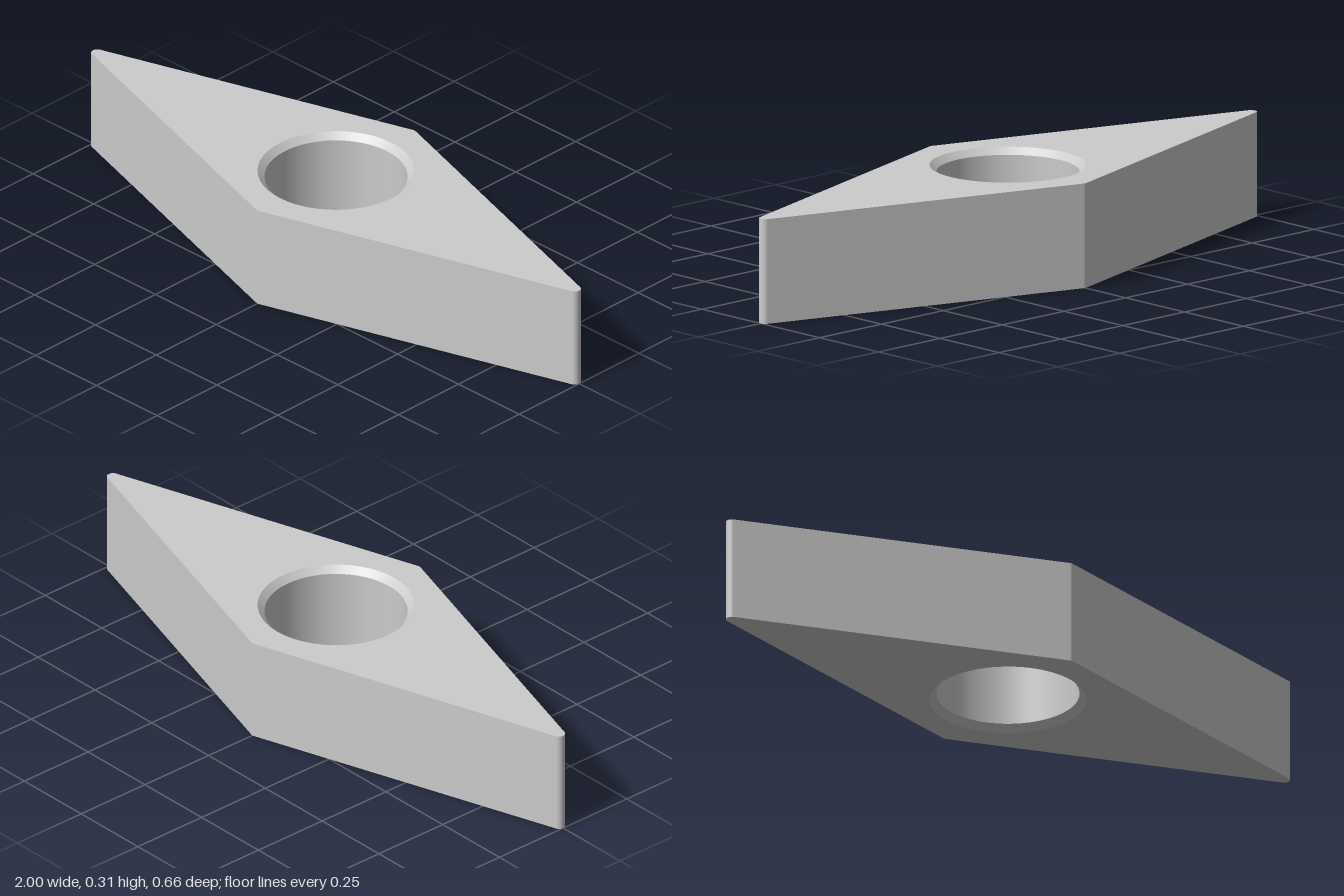
import * as THREE from 'three';

const HEIGHT = 0.315, HALF_X = 1, HALF_Z = 0.328;
const CORNER = 0.018;                     // radius of the four rounded corners
const BORE = 0.21, MOUTH = 0.23, CHAMFER = 0.02;
const CORNER_STEPS = 10, BORE_STEPS = 48;

// Rounded rhombus outline: points with their outward normals
function rhombusOutline() {
  const cx = HALF_X - CORNER, cz = HALF_Z - CORNER;
  const steep = Math.atan2(cx, cz);       // direction square to the long sides
  const corners = [
    [cx, 0, -steep, steep],
    [0, cz, steep, Math.PI - steep],
    [-cx, 0, Math.PI - steep, Math.PI + steep],
    [0, -cz, Math.PI + steep, 2 * Math.PI - steep],
  ];
  const outline = [];
  for (const [x, z, from, to] of corners) {
    for (let i = 0; i <= CORNER_STEPS; i++) {
      const a = from + (to - from) * i / CORNER_STEPS;
      const nx = Math.cos(a), nz = Math.sin(a);
      outline.push({ x: x + CORNER * nx, z: z + CORNER * nz, nx, nz });
    }
  }
  return outline;
}

// Upright band around the outline, smooth at the corners and flat between them
function wallGeometry(outline) {
  const positions = [], normals = [], index = [], n = outline.length;
  outline.forEach((p, i) => {
    positions.push(p.x, 0, p.z, p.x, HEIGHT, p.z);
    normals.push(p.nx, 0, p.nz, p.nx, 0, p.nz);
    const a = 2 * i, b = 2 * ((i + 1) % n);
    index.push(a, a + 1, b + 1, a, b + 1, b);
  });
  const geometry = new THREE.BufferGeometry();
  geometry.setAttribute('position', new THREE.Float32BufferAttribute(positions, 3));
  geometry.setAttribute('normal', new THREE.Float32BufferAttribute(normals, 3));
  geometry.setIndex(index);
  return geometry;
}

// Flat face with the round opening
function faceGeometry(outline) {
  const shape = new THREE.Shape(outline.map(p => new THREE.Vector2(p.x, p.z)));
  const opening = [];
  for (let i = 0; i < BORE_STEPS; i++) {
    const a = -2 * Math.PI * i / BORE_STEPS;
    opening.push(new THREE.Vector2(MOUTH * Math.cos(a), MOUTH * Math.sin(a)));
  }
  shape.holes.push(new THREE.Path(opening));
  return new THREE.ShapeGeometry(shape);
}

export function createModel() {
  const group = new THREE.Group();
  group.name = 'rhombicInsert';
  const material = new THREE.MeshStandardMaterial({ color: 0xcccccc });
  const add = (name, geometry) => {
    const mesh = new THREE.Mesh(geometry, material);
    mesh.name = name;
    group.add(mesh);
  };

  // Body
  const outline = rhombusOutline();
  add('sideWall', wallGeometry(outline));
  add('topFace', faceGeometry(outline).rotateX(-Math.PI / 2).translate(0, HEIGHT, 0));
  add('bottomFace', faceGeometry(outline).rotateX(Math.PI / 2));

  // Through hole, each band separate so its edges stay sharp
  const band = (name, r1, y1, r2, y2) => add(name, new THREE.LatheGeometry(
    [new THREE.Vector2(r1, y1), new THREE.Vector2(r2, y2)], BORE_STEPS));
  band('topChamfer', MOUTH, HEIGHT, BORE, HEIGHT - CHAMFER);
  band('boreWall', BORE, HEIGHT - CHAMFER, BORE, CHAMFER);
  band('bottomChamfer', BORE, CHAMFER, MOUTH, 0);

  return group;
}
